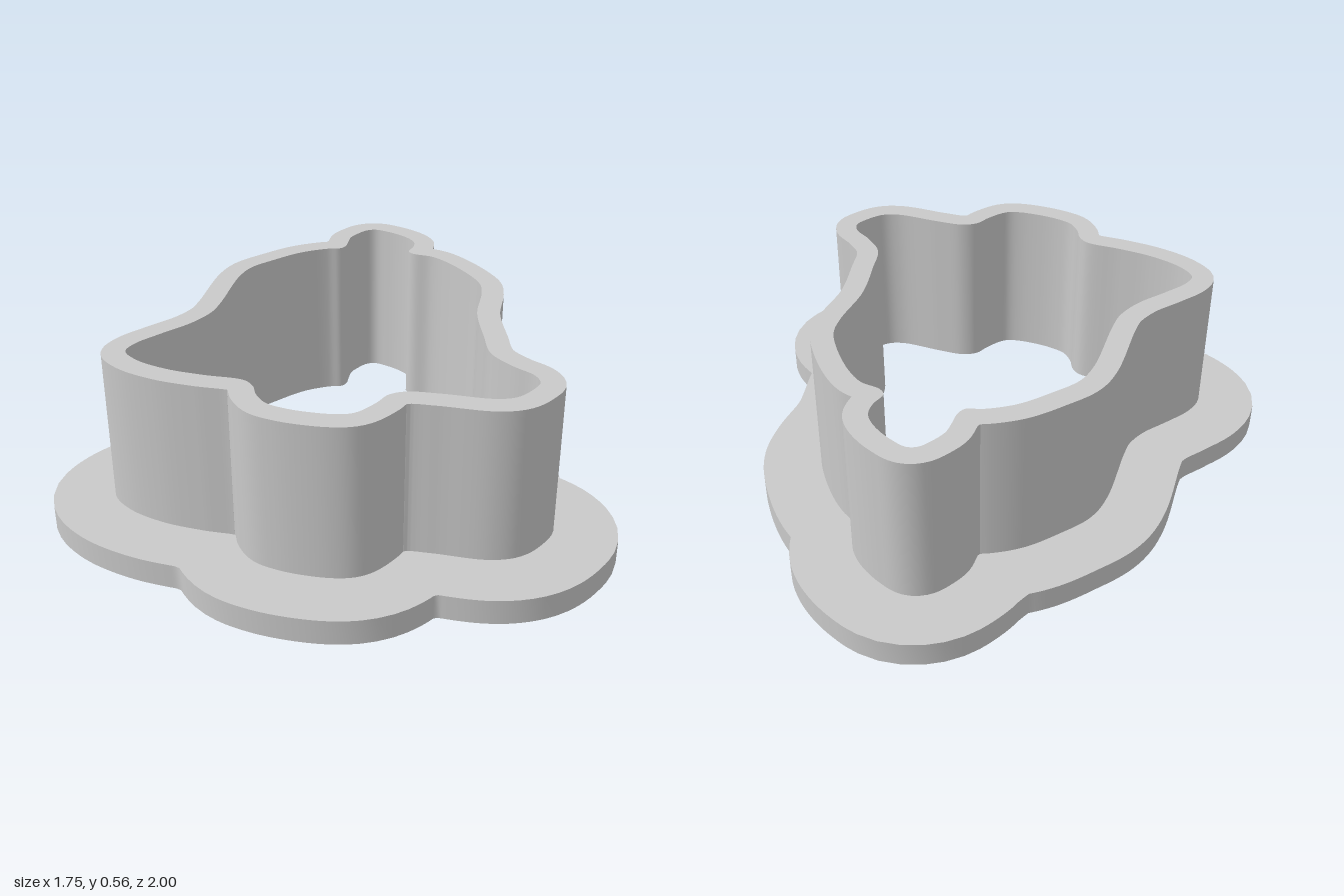
import * as THREE from 'three';
import { toCreasedNormals } from 'three/addons/utils/BufferGeometryUtils.js';

// Bell outline of the opening as [x, z], running from the top knob round by +x
const BELL = [
  // knob, right half
  [-0.05, -0.737], [0, -0.72], [0.045, -0.695], [0.085, -0.662], [0.108, -0.628], [0.113, -0.58], [0.103, -0.527],
  // shoulder and right side
  [0.125, -0.505], [0.19, -0.49], [0.255, -0.44], [0.345, -0.33], [0.383, -0.26], [0.395, -0.18],
  [0.395, -0.01], [0.43, 0.16], [0.462, 0.28], [0.53, 0.353],
  // right lip
  [0.595, 0.402], [0.613, 0.445], [0.595, 0.492], [0.555, 0.545], [0.5, 0.566], [0.345, 0.562], [0.25, 0.566],
  // clapper
  [0.203, 0.593], [0.178, 0.645], [0.14, 0.703], [0.115, 0.722], [0.07, 0.732], [-0.01, 0.731], [-0.07, 0.721],
  [-0.12, 0.702], [-0.16, 0.655], [-0.18, 0.61], [-0.215, 0.578],
  // left lip
  [-0.34, 0.567], [-0.455, 0.549], [-0.56, 0.507], [-0.612, 0.455], [-0.602, 0.4],
  // left side and shoulder
  [-0.55, 0.32], [-0.48, 0.222], [-0.442, 0.13], [-0.435, 0.055], [-0.435, -0.19], [-0.415, -0.275],
  [-0.355, -0.36], [-0.275, -0.45], [-0.19, -0.503], [-0.145, -0.517], [-0.131, -0.545],
  // knob, left half
  [-0.131, -0.59], [-0.129, -0.64], [-0.108, -0.688], [-0.082, -0.725],
];

// Grow an outline outward, dropping points that fall too close to it, so inner bends become sharp notches
function grow(points, distance) {
  const n = points.length;
  return points.map((p, i) => {
    const t = points[(i + 1) % n].clone().sub(points[(i + n - 1) % n]).normalize();
    return new THREE.Vector2(p.x - t.y * distance, p.y + t.x * distance);
  }).filter((q) => points.every((p) => p.distanceTo(q) > distance - 0.0008));
}

// Upright ring between two outlines, standing on y = 0; the hole runs the opposite way so its wall faces inward
function ring(name, outer, inner, height, material) {
  const shape = new THREE.Shape(outer);
  shape.holes.push(new THREE.Path([...inner].reverse()));
  const geometry = new THREE.ExtrudeGeometry(shape, { depth: height, bevelEnabled: false });
  geometry.rotateX(-Math.PI / 2);
  const mesh = new THREE.Mesh(toCreasedNormals(geometry, 0.6), material);
  mesh.name = name;
  return mesh;
}

export function createModel() {
  const group = new THREE.Group();
  group.name = 'bellCookieCutter';

  const grey = new THREE.MeshStandardMaterial({ color: 0xc9c9c9 });
  grey.name = 'plain grey';

  const curve = new THREE.CatmullRomCurve3(BELL.map(([x, z]) => new THREE.Vector3(x, -z, 0)), true);
  const opening = curve.getSpacedPoints(420).slice(0, -1).map((p) => new THREE.Vector2(p.x, p.y));
  const wallOutline = grow(opening, 0.073);
  const flangeOutline = grow(opening, 0.264);

  // Tall cutting wall and the wide flat flange around its foot
  group.add(ring('cuttingWall', wallOutline, opening, 0.563, grey));
  group.add(ring('flange', flangeOutline, wallOutline, 0.078, grey));
  return group;
}
